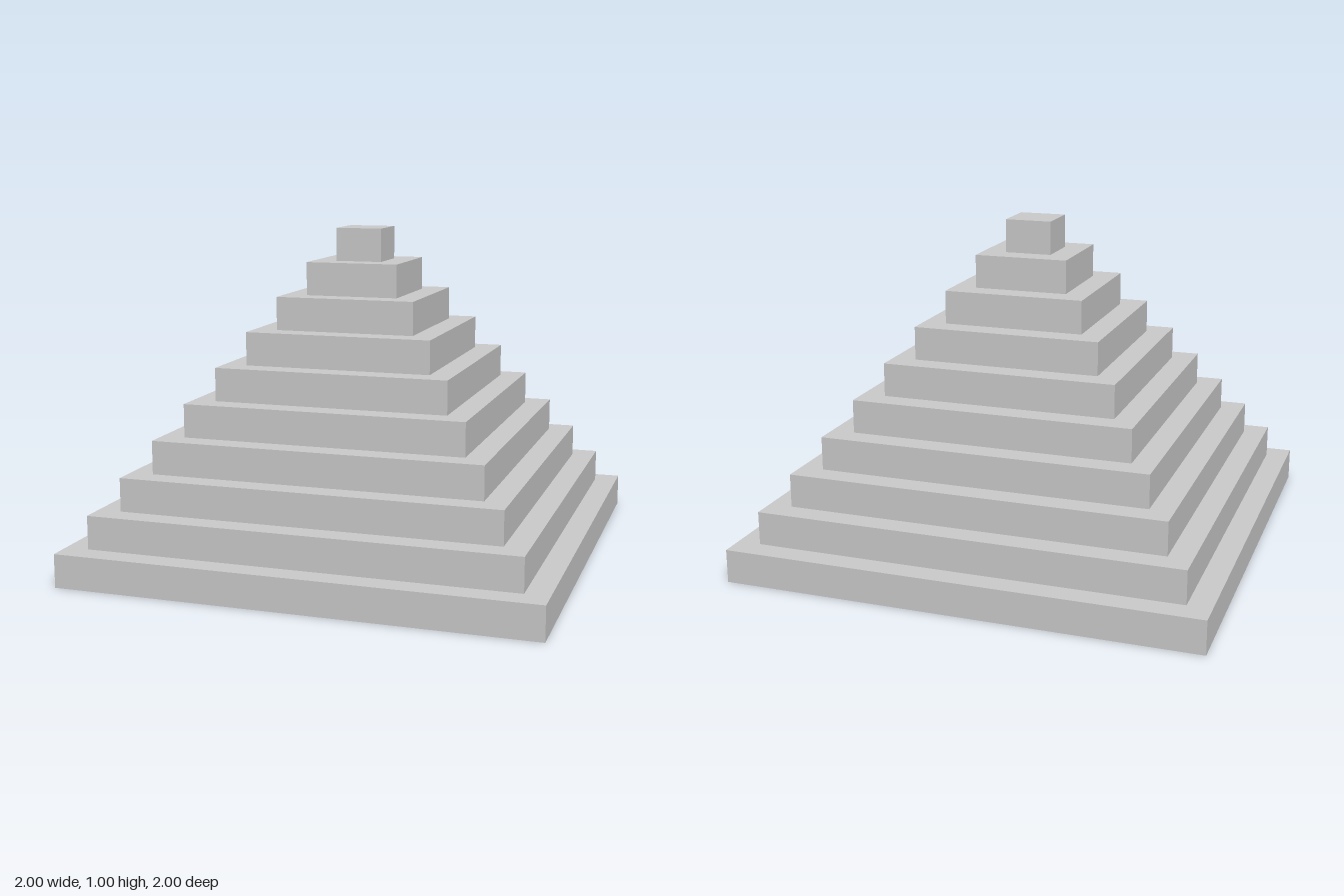
import * as THREE from 'three';

const STEPS = 10;
const STEP_HEIGHT = 0.1;

export function createModel() {
  const pyramid = new THREE.Group();
  pyramid.name = 'steppedPyramid';
  const stone = new THREE.MeshStandardMaterial({ color: 0xcccccc, flatShading: true });

  // Square tiers, corners pointing along the x and z axes, shrinking upwards
  for (let i = 0; i < STEPS; i++) {
    const cornerRadius = 1 - i / STEPS;
    const side = cornerRadius * Math.SQRT2;
    const tier = new THREE.Mesh(new THREE.BoxGeometry(side, STEP_HEIGHT, side), stone);
    tier.name = `tier${i + 1}`;
    tier.position.y = (i + 0.5) * STEP_HEIGHT;
    tier.rotation.y = Math.PI / 4;
    pyramid.add(tier);
  }
  return pyramid;
}
